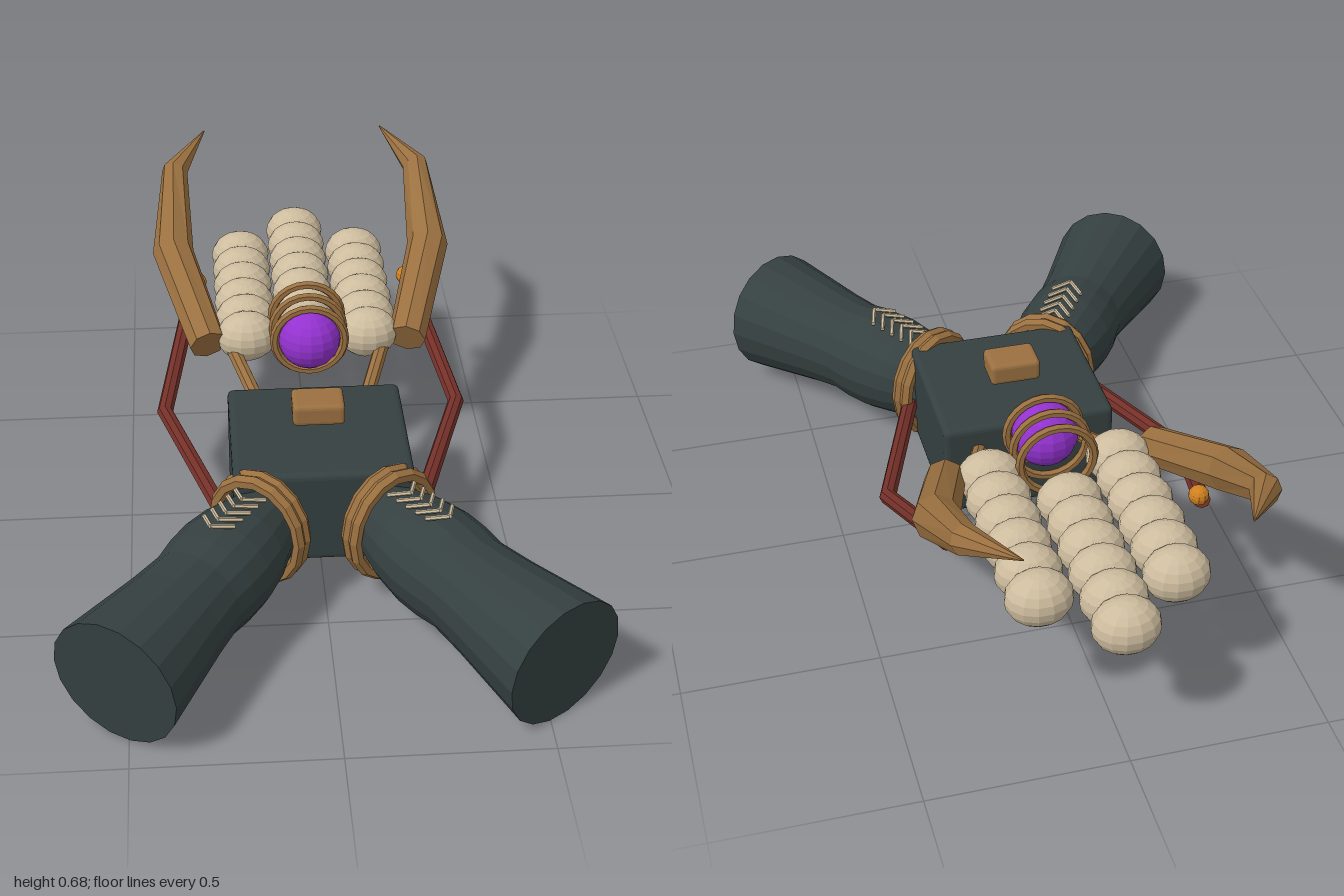
import * as THREE from 'three';
import { RoundedBoxGeometry } from 'three/addons/geometries/RoundedBoxGeometry.js';

const mat = (name, color, flatShading = true) => {
  const m = new THREE.MeshStandardMaterial({ color, flatShading });
  m.name = name;
  return m;
};

// Sweeps a polygon of varying radius along a bent path, with both ends capped
function loft(points, radii, sides) {
  const p = points.map((a) => new THREE.Vector3(...a));
  const pos = [], idx = [], n = p.length;
  const up = new THREE.Vector3(0, 1, 0);
  p.forEach((c, i) => {
    const t = new THREE.Vector3();
    if (i > 0) t.add(c.clone().sub(p[i - 1]).normalize());
    if (i < n - 1) t.add(p[i + 1].clone().sub(c).normalize());
    t.normalize();
    const u = new THREE.Vector3().crossVectors(t, up).normalize();
    const v = new THREE.Vector3().crossVectors(t, u);
    for (let j = 0; j < sides; j++) {
      const a = (j / sides) * Math.PI * 2;
      const q = c.clone().addScaledVector(u, radii[i] * Math.cos(a)).addScaledVector(v, radii[i] * Math.sin(a));
      pos.push(q.x, q.y, q.z);
    }
  });
  pos.push(...points[0], ...points[n - 1]);
  for (let j = 0; j < sides; j++) {
    const k = (j + 1) % sides, e = (n - 1) * sides;
    for (let i = 0; i < n - 1; i++) {
      const a = i * sides + j, b = i * sides + k;
      idx.push(a, b, a + sides, b, b + sides, a + sides);
    }
    idx.push(n * sides, k, j, n * sides + 1, e + j, e + k);
  }
  const g = new THREE.BufferGeometry();
  g.setAttribute('position', new THREE.Float32BufferAttribute(pos, 3));
  g.setIndex(idx);
  g.computeVertexNormals();
  return g;
}

export function createModel() {
  const root = new THREE.Group();
  root.name = 'model';
  const dark = mat('dark slate', 0x354040);
  const bronze = mat('bronze', 0x9a7040);
  const bone = mat('bone', 0xcdbc9e);
  const violet = mat('violet', 0x9432d0);
  const red = mat('oxblood', 0x743029);
  const amber = mat('amber', 0xd08020);

  const add = (parent, name, geo, material, x = 0, y = 0, z = 0) => {
    const m = new THREE.Mesh(geo, material);
    m.name = name;
    m.position.set(x, y, z);
    parent.add(m);
    return m;
  };

  // Body block and the plate hovering above it
  add(root, 'body', new RoundedBoxGeometry(0.46, 0.265, 0.425, 2, 0.016), dark, 0, 0.223, 0.132);
  add(root, 'topPlate', new RoundedBoxGeometry(0.135, 0.06, 0.1, 2, 0.012), bronze, 0, 0.41, 0.11);

  // Orb and its three rings
  add(root, 'orb', new THREE.SphereGeometry(0.086, 16, 12), violet, 0, 0.42, -0.225);
  for (const z of [-0.21, -0.277, -0.343]) {
    add(root, 'orbRing', new THREE.TorusGeometry(0.096, 0.012, 6, 24), bronze, 0, 0.42, z);
  }

  // Three rows of flattened beads
  const bead = new THREE.SphereGeometry(0.07, 14, 10).scale(1.2, 1, 1);
  for (const [x, z] of [[-0.168, -0.787], [0, -0.93], [0.168, -0.787]]) {
    for (let i = 0; i < 6; i++) add(root, 'bead', bead, bone, x, 0.378, z + i * 0.0945);
  }

  for (const s of [1, -1]) {
    const side = new THREE.Group();
    side.name = s > 0 ? 'leftSide' : 'rightSide';
    root.add(side);
    const mirror = (pts) => pts.map(([x, y, z]) => [s * x, y, z]);

    // Curved horn with its stud
    add(side, 'horn', loft(mirror([[0.275, 0.37, -0.285], [0.364, 0.5, -0.59], [0.352, 0.63, -0.84], [0.262, 0.682, -1]]),
      [0.052, 0.058, 0.038, 0.002], 8), bronze);
    add(side, 'hornStud', new THREE.SphereGeometry(0.026, 10, 8), amber, s * 0.298, 0.415, -0.563);

    // Strut and hose joining the horn to the body
    add(side, 'strut', loft(mirror([[0.135, 0.28, -0.07], [0.225, 0.37, -0.34]]), [0.02, 0.02], 8), bronze);
    add(side, 'hose', loft(mirror([[0.235, 0.19, 0.33], [0.4, 0.24, -0.155], [0.322, 0.365, -0.525]]),
      [0.022, 0.022, 0.022], 8), red);

    // Splayed leg, built along its own z axis
    const leg = new THREE.Group();
    leg.name = 'leg';
    leg.position.set(s * 0.165, 0, 0.36);
    leg.rotation.y = s * Math.atan2(0.56, 0.83);
    side.add(leg);
    const profile = [[-0.05, 0.09], [0.02, 0.108], [0.09, 0.128], [0.17, 0.139], [0.24, 0.138], [0.3, 0.131], [0.4, 0.14], [0.646, 0.172]];
    const axisY = (t) => 0.215 - 0.058 * t;
    add(leg, 'legShell', loft(profile.map(([t]) => [0, axisY(t), t]), profile.map(([, r]) => r), 18), dark);

    // Double collar around the narrow end
    for (const z of [-0.014, 0.014]) {
      const ring = add(leg, 'collar', new THREE.TorusGeometry(0.143, 0.019, 6, 16), bronze, 0, 0.215, z);
      ring.scale.x = 0.87;
    }

    // Chevron laces on top of the leg
    for (let i = 0; i < 5; i++) {
      const t = 0.08 + i * 0.036, y = 0.343 + i * 0.0025;
      for (const d of [1, -1]) {
        add(leg, 'lace', loft([[0, y + 0.006, t], [d * 0.044, y - 0.004, t - 0.04]], [0.006, 0.006], 6), bone);
      }
    }
  }
  return root;
}
